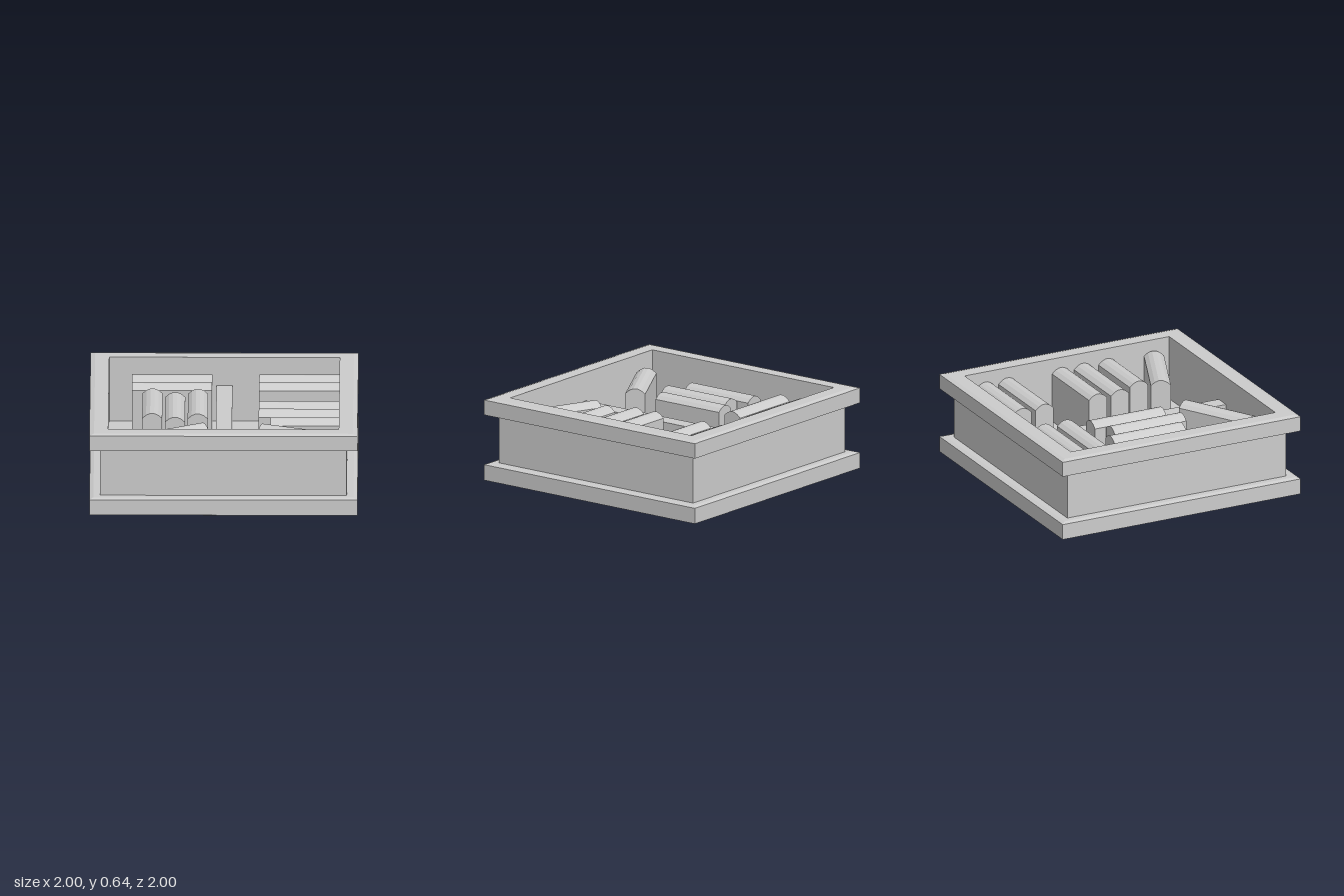
import * as THREE from 'three';

const FLOOR = 0.14, RIM = 0.64, OUTER = 0.92, INNER = 0.86;
const material = new THREE.MeshStandardMaterial({ color: 0xcccccc, flatShading: true });

function addMesh(group, name, geometry) {
  const mesh = new THREE.Mesh(geometry, material);
  mesh.name = name;
  group.add(mesh);
  return mesh;
}

// Square ring or slab swept from a profile of [half width, height] points
function squareSweep(profile) {
  const points = profile.map(([w, y]) => new THREE.Vector2(w * Math.SQRT2, y));
  const geometry = new THREE.LatheGeometry(points, 4, Math.PI / 4).toNonIndexed();
  geometry.computeVertexNormals();
  return geometry;
}

// Upright slab with a rounded top edge, its length along z
function bookGeometry(width, shoulder, rise, length) {
  const w = width / 2;
  const shape = new THREE.Shape();
  shape.moveTo(-w, FLOOR);
  shape.lineTo(w, FLOOR);
  shape.lineTo(w, shoulder);
  shape.quadraticCurveTo(0, shoulder + rise * 2, -w, shoulder);
  const geometry = new THREE.ExtrudeGeometry(shape, { depth: length, bevelEnabled: false, curveSegments: 5 });
  return geometry.translate(0, 0, -length / 2);
}

export function createModel() {
  const model = new THREE.Group();
  model.name = 'bookCrate';

  // Crate: bevelled base slab, recessed walls, overhanging rim
  addMesh(model, 'base', squareSweep([
    [0, 0], [0.97, 0], [1, 0.01], [1, 0.13], [0.97, FLOOR], [0, FLOOR],
  ]));
  addMesh(model, 'walls', squareSweep([
    [OUTER, FLOOR], [OUTER, 0.5], [INNER, 0.5], [INNER, FLOOR],
  ]));
  addMesh(model, 'rim', squareSweep([
    [INNER, 0.5], [OUTER, 0.5], [1, 0.515], [1, 0.63], [0.965, RIM], [INNER, RIM], [INNER, 0.5],
  ]));

  // Divider down the middle
  const dividerHeight = 0.42 - FLOOR;
  const divider = addMesh(model, 'divider', new THREE.BoxGeometry(0.12, dividerHeight, INNER * 2));
  divider.position.y = FLOOR + dividerHeight / 2;

  // Books: x, z, turn in degrees, length
  const books = [
    [-0.39, -0.685, 90], [-0.39, -0.5, 90],
    [-0.535, -0.06, 0], [-0.365, 0.03, 0], [-0.195, -0.05, 0],
    [-0.408, 0.615, 120],
    [0.56, -0.685, 90], [0.56, -0.5, 90],
    [0.56, -0.05, 90], [0.56, 0.135, 90],
    [0.615, 0.34, 90, 0.53],
    [0.56, 0.605, 67.5],
  ];
  for (const [x, z, turn, length = 0.6] of books) {
    const book = addMesh(model, 'book', bookGeometry(0.15, 0.52, 0.04, length));
    book.position.set(x, 0, z);
    book.rotation.y = THREE.MathUtils.degToRad(turn);
  }

  return model;
}
